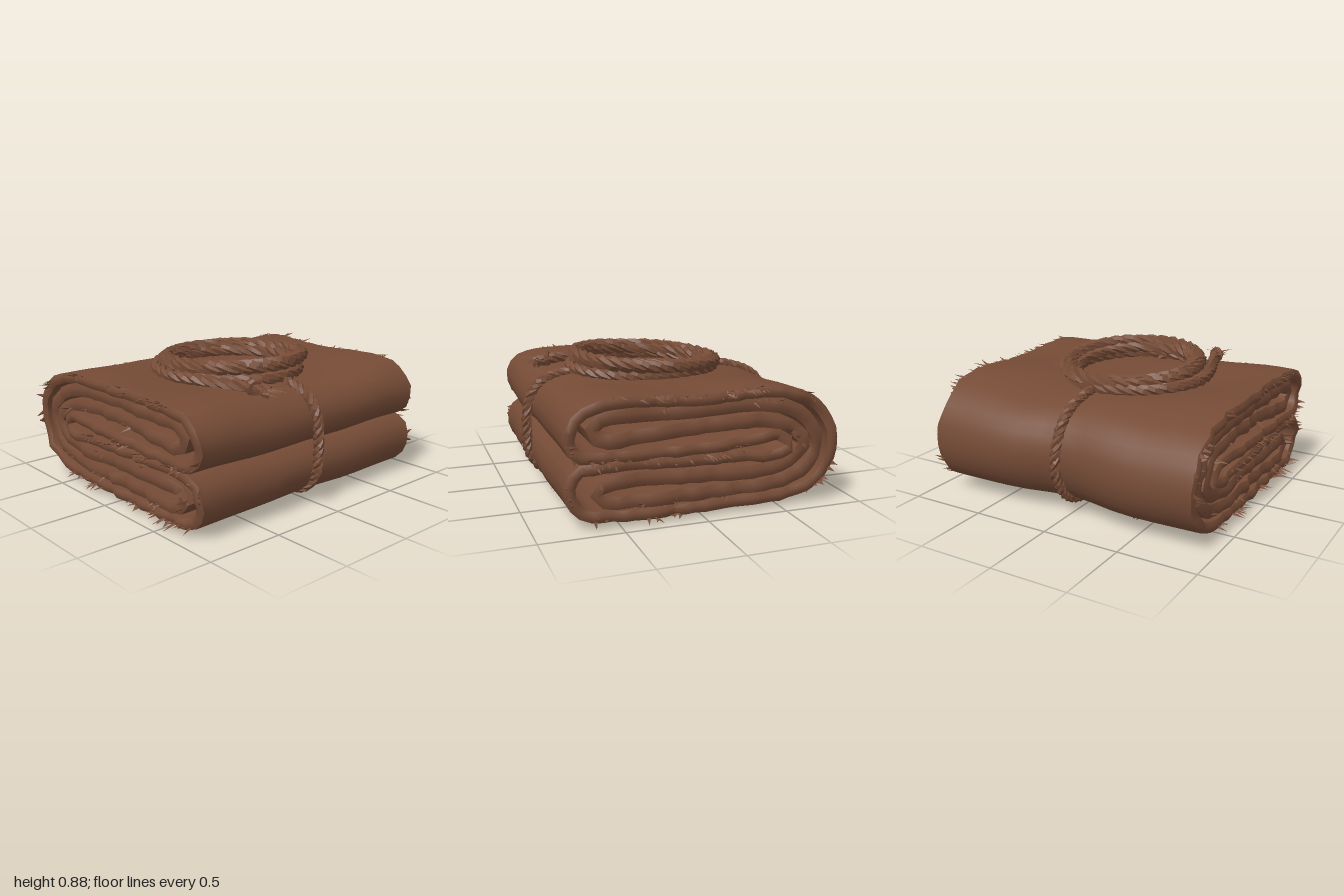
import * as THREE from 'three';
import { toCreasedNormals } from 'three/addons/utils/BufferGeometryUtils.js';

function seeded(seed) {
  return () => {
    seed = (seed * 16807) % 2147483647;
    return seed / 2147483647;
  };
}

// Curve in the side plane from [z, y] pairs
function sideCurve(pairs, closed, xOf = () => 0) {
  const pts = pairs.map(([z, y]) => new THREE.Vector3(xOf(z), y, z));
  return new THREE.CatmullRomCurve3(pts, closed, 'centripetal');
}

// Soft wrinkles, plus the pinch where the rope is tied
function warp(x, y, z) {
  const pinch = Math.exp(-((x / 0.25) ** 2));
  const back = THREE.MathUtils.smoothstep(-z, 0.4, 0.85);
  const front = THREE.MathUtils.smoothstep(z, 0.4, 0.8);
  const sides = THREE.MathUtils.smoothstep(Math.abs(x + 0.05), 0.35, 0.75);
  const up = y / 0.72;
  const ny = y + up * (0.022 * sides - 0.012 + 0.007 * Math.sin(5 * x + 6 * z)) + (1 - up) * 0.014 * pinch;
  const nz = z + back * 0.05 * pinch - front * 0.008 * pinch + 0.006 * Math.sin(5 * x + 8 * y);
  return new THREE.Vector3(x, ny, nz);
}

// Point on the cloth: u along the curve, x across, off along the normal
function surface(curve, u, x, off) {
  const p = curve.getPointAt(u), t = curve.getTangentAt(u);
  return warp(x, p.y - t.z * off, p.z + t.y * off);
}

// Skin a list of equally long rows of points
function loft(rows, wrap) {
  const n = rows[0].length, pos = [], idx = [];
  rows.forEach(r => r.forEach(p => pos.push(p.x, p.y, p.z)));
  for (let i = 0; i < rows.length - 1; i++) {
    for (let j = 0; j < (wrap ? n : n - 1); j++) {
      const a = i * n + j, b = i * n + (j + 1) % n, c = a + n, d = b + n;
      idx.push(a, b, c, b, d, c);
    }
  }
  const g = new THREE.BufferGeometry();
  g.setAttribute('position', new THREE.Float32BufferAttribute(pos, 3));
  g.setIndex(idx);
  return toCreasedNormals(g, 0.8);
}

// Closed cloth layer of some thickness, rounded and uneven at its side edges
function clothLayer(curve, segments, width, half, rand) {
  const rows = [], cols = 18;
  for (let i = 0; i < segments; i++) {
    const row = [], right = width + 0.03 * rand(), left = width + 0.03 * rand();
    for (const side of [1, -1]) {
      for (let j = 0; j <= cols; j++) {
        const f = side * Math.sin((j / cols - 0.5) * Math.PI);
        const off = Math.abs(f) > 0.999 ? 0.35 * half : half;
        row.push(surface(curve, i / segments, f * (f > 0 ? right : left), off * side));
      }
    }
    rows.push(row);
  }
  rows.push(rows[0]);
  return loft(rows, true);
}

// Parameter of the curve nearest to [z, y]
function nearest(curve, [z, y]) {
  let best = 0, dist = Infinity;
  for (let i = 0; i < 400; i++) {
    const p = curve.getPointAt(i / 400), d = Math.hypot(p.z - z, p.y - y);
    if (d < dist) { dist = d; best = i / 400; }
  }
  return best;
}

// Thin strip lying on the cloth, used for patches and tears
function clothStrip(curve, from, to, xa, xb, width, off, taper) {
  const u0 = nearest(curve, from), u1 = nearest(curve, to), rows = [], steps = 10;
  for (let i = 0; i <= steps; i++) {
    const f = i / steps, row = [];
    const w = width * (taper ? Math.sin(Math.PI * f) : 1 + 0.05 * Math.sin(i * 4));
    for (let j = 0; j <= 4; j++) {
      const x = xa + (xb - xa) * f + w * (j / 4 - 0.5);
      row.push(surface(curve, u0 + (u1 - u0) * f, x, off));
    }
    rows.push(row);
  }
  return loft(rows, false);
}

// Loose threads: each a flat three-sided spike from base to tip
function threads(list) {
  const pos = [];
  for (const { base, along, tip, w } of list) {
    const n = new THREE.Vector3().subVectors(tip, base).cross(along).normalize();
    const c = [along.clone().multiplyScalar(w), along.clone().multiplyScalar(-w), n.multiplyScalar(w * 0.6)]
      .map(v => v.add(base));
    for (let k = 0; k < 3; k++) pos.push(...c[k].toArray(), ...c[(k + 1) % 3].toArray(), ...tip.toArray());
  }
  const g = new THREE.BufferGeometry();
  g.setAttribute('position', new THREE.Float32BufferAttribute(pos, 3));
  g.computeVertexNormals();
  return g;
}

export function createModel() {
  const model = new THREE.Group();
  const rand = seeded(71);
  const brown = new THREE.MeshStandardMaterial({ color: 0x754b36, side: THREE.DoubleSide });
  brown.name = 'worn brown';
  const add = (name, geometry, parent = model) => {
    const m = new THREE.Mesh(geometry, brown);
    m.name = name;
    parent.add(m);
    return m;
  };

  // Folded cloth: outer wrap with two front folds, and a second loop nested inside
  const outer = sideCurve([[-0.5, 0.43], [-0.3, 0.415], [0, 0.405], [0.6, 0.4], [0.74, 0.42], [0.785, 0.5],
    [0.77, 0.59], [0.7, 0.66], [0.55, 0.695], [0, 0.69], [-0.5, 0.685], [-0.72, 0.61], [-0.83, 0.47], [-0.84, 0.3],
    [-0.76, 0.15], [-0.58, 0.075], [-0.3, 0.06], [0.55, 0.06], [0.72, 0.085], [0.785, 0.17], [0.785, 0.26],
    [0.74, 0.325], [0.6, 0.345], [0, 0.335], [-0.3, 0.325], [-0.45, 0.31], [-0.57, 0.36]], true);
  const inner = sideCurve([[0.61, 0.605], [0.3, 0.62], [-0.45, 0.61], [-0.65, 0.54], [-0.755, 0.38],
    [-0.68, 0.22], [-0.5, 0.14], [0.1, 0.13], [0.58, 0.135], [0.63, 0.18], [0.58, 0.235], [0.1, 0.24],
    [-0.4, 0.225], [-0.6, 0.275], [-0.67, 0.37], [-0.6, 0.46], [-0.4, 0.52], [0.2, 0.515], [0.6, 0.49],
    [0.65, 0.545]], true);
  const layers = [['outerCloth', outer, 110, 0.9, 0.033, 44], ['innerCloth', inner, 90, 0.88, 0.042, 10]];
  for (const [name, curve, n, width, half, clumps] of layers) {
    add(name, clothLayer(curve, n, width, half, rand));
    // Frayed side edges, in clumps
    const list = [];
    for (const s of [1, -1]) {
      for (let k = 0; k < clumps; k++) {
        const u = rand() * 0.97, count = 2 + Math.floor(rand() * 3), reach = 0.03 + 0.06 * rand();
        for (let c = 0; c < count; c++) {
          const v = u + c * 0.005;
          const base = surface(curve, v, s * (width - 0.015), half * (0.3 + 0.5 * rand()));
          const tip = base.clone().add(new THREE.Vector3(s * (0.02 + reach * (0.6 + 0.4 * rand())),
            0.06 * (rand() - 0.5), 0.08 * (rand() - 0.5)));
          tip.y = Math.max(tip.y, 0.01);
          list.push({ base, along: curve.getTangentAt(v), tip, w: 0.018 });
        }
      }
    }
    add(name + 'Fray', threads(list));
  }

  // Sewn patches
  add('frontPatch', clothStrip(outer, [0.775, 0.14], [0.72, 0.335], -0.46, -0.46, 0.27, 0.042));
  add('topPatch', clothStrip(outer, [0.74, 0.63], [0.38, 0.7], 0.59, 0.6, 0.16, 0.04));

  // Tears: start [z, y], end [z, y], start x, end x, width
  const tears = [
    [[-0.4, 0.69], [-0.6, 0.66], -0.48, -0.46, 0.01], [[-0.5, 0.69], [-0.8, 0.52], -0.47, -0.45, 0.008],
    [[-0.62, 0.65], [-0.8, 0.52], 0.51, 0.49, 0.01], [[-0.54, 0.68], [-0.58, 0.66], 0.1, 0.36, 0.015],
    [[0.72, 0.09], [0.7, 0.335], 0.49, 0.51, 0.012], [[0.78, 0.48], [0.7, 0.66], 0.33, 0.34, 0.01],
    [[0.42, 0.7], [0.37, 0.7], -0.9, -0.57, 0.015], [[0.7, 0.66], [0.4, 0.7], -0.58, -0.56, 0.01],
    [[0.4, 0.7], [0.36, 0.7], 0.5, 0.86, 0.015], [[-0.8, 0.2], [-0.62, 0.09], -0.5, -0.45, 0.01],
    [[-0.55, 0.07], [-0.5, 0.07], -0.3, 0.1, 0.015], [[0.74, 0.11], [0.73, 0.33], -0.62, -0.61, 0.01],
    [[0.74, 0.11], [0.73, 0.33], -0.3, -0.31, 0.01]];
  for (const [from, to, xa, xb, w] of tears) add('tear', clothStrip(outer, from, to, xa, xb, w, 0.039, true));

  // Three-strand twisted rope along a curve
  function addRope(name, curve, turns, radius) {
    const n = turns * 7, group = new THREE.Group();
    group.name = name;
    curve.arcLengthDivisions = n * 2;
    const { normals, binormals } = curve.computeFrenetFrames(n, false);
    for (let s = 0; s < 3; s++) {
      const pts = [];
      for (let i = 0; i <= n; i++) {
        const a = (i / n * turns + s / 3) * Math.PI * 2;
        pts.push(curve.getPointAt(i / n).addScaledVector(normals[i], Math.cos(a) * radius * 0.48)
          .addScaledVector(binormals[i], Math.sin(a) * radius * 0.48));
      }
      const path = new THREE.CatmullRomCurve3(pts);
      path.arcLengthDivisions = n * 2;
      add('strand', toCreasedNormals(new THREE.TubeGeometry(path, n, radius * 0.56, 5), 0.3), group);
    }
    model.add(group);
  }

  // Rope tied round the bundle, both ends tucked under the coil
  addRope('tieRope', sideCurve([[0.42, 0.715], [0.6, 0.715], [0.74, 0.67], [0.825, 0.55], [0.845, 0.35], [0.83, 0.2],
    [0.73, 0.08], [0.5, 0.04], [0, 0.036], [-0.5, 0.045], [-0.72, 0.115], [-0.835, 0.28], [-0.845, 0.4],
    [-0.74, 0.62], [-0.5, 0.715], [-0.36, 0.715]], false, z => -0.022 * z), 24, 0.035);

  // Coil of rope on top, with its tail running to the front
  const path = [[-0.31, 0.735, 0.72], [-0.345, 0.75, 0.62], [-0.4, 0.745, 0.45], [-0.47, 0.745, 0.25]]
    .map(p => new THREE.Vector3(...p));
  // One [radius, height, centre x] for each turn
  const loops = [[0.45, 0.74, -0.055], [0.44, 0.74, -0.05], [0.385, 0.745, -0.035], [0.38, 0.785, -0.015],
    [0.445, 0.795, 0], [0.425, 0.81, 0], [0.4, 0.8, 0]];
  for (let i = 0; i <= 72; i++) {
    const k = i / 12, j = Math.min(Math.floor(k), 5);
    const [r, y, cx] = loops[j].map((v, m) => THREE.MathUtils.lerp(v, loops[j + 1][m], k - j));
    const a = Math.PI + k * Math.PI * 2, z = 1.07 * r * Math.sin(a);
    path.push(new THREE.Vector3(cx + r * Math.cos(a), y + 0.06 * z * Math.min(k / 3, 1), z + 0.055));
  }
  addRope('ropeCoil', new THREE.CatmullRomCurve3(path), 66, 0.041);

  // Knot and frayed end of the tail
  const knot = add('tailKnot', toCreasedNormals(new THREE.TorusGeometry(0.036, 0.022, 6, 10), 0.3));
  knot.position.set(-0.345, 0.752, 0.63);
  knot.rotation.set(0.15, -0.4, 0);
  const ends = [];
  for (let i = 0; i < 18; i++) {
    const base = new THREE.Vector3(-0.33 + 0.04 * (rand() - 0.5), 0.73 + 0.03 * rand(), 0.67 + 0.04 * rand());
    const tip = base.clone().add(new THREE.Vector3(0.22 * (rand() - 0.35), 0.05 * (rand() - 0.5), 0.04 + 0.08 * rand()));
    ends.push({ base, along: new THREE.Vector3(1, 0, 0), tip, w: 0.013 });
  }
  add('tailFray', threads(ends));

  return model;
}
